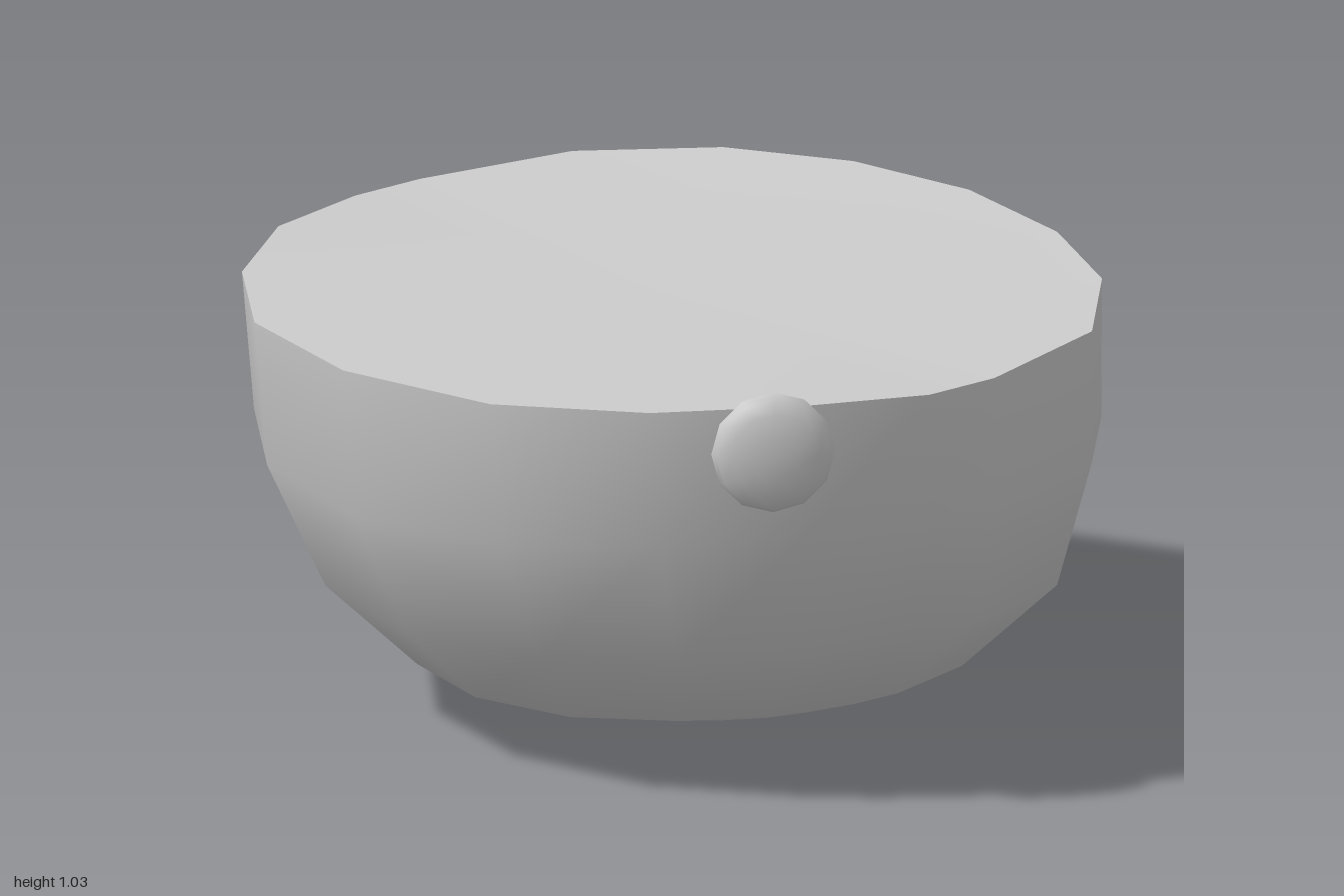
import * as THREE from 'three';

// Rim half outline from back to front: x, y, z
const HALF_RIM = [
  [0, 1.035, -0.915], [0.355, 1.027, -0.875], [0.66, 1.013, -0.75], [0.905, 0.993, -0.515],
  [1, 0.977, -0.15], [1, 0.975, 0.04], [0.905, 0.985, 0.345], [0.71, 0.977, 0.615],
  [0.41, 0.97, 0.83], [0, 0.97, 0.915],
];
// Rings below the rim: half width, front z, back z, and height at front, side and back
const RINGS = [
  [0.99, 0.88, -0.915, 0.62, 0.68, 0.69],
  [0.9, 0.73, -0.83, 0.32, 0.38, 0.39],
  [0.65, 0.53, -0.66, 0.13, 0.155, 0.165],
  [0.355, 0.12, -0.43, 0.025, 0.045, 0.05],
];
const POLE = [0, 0, -0.08];

function makeGeometry(points, index) {
  const geometry = new THREE.BufferGeometry();
  geometry.setAttribute('position', new THREE.Float32BufferAttribute(points.flat(), 3));
  geometry.setIndex(index);
  geometry.computeVertexNormals();
  return geometry;
}

export function createModel() {
  const group = new THREE.Group();
  const material = new THREE.MeshStandardMaterial({ color: 0xcccccc });
  const add = (name, geometry, parent = group) => {
    const mesh = new THREE.Mesh(geometry, material);
    mesh.name = name;
    parent.add(mesh);
    return mesh;
  };

  // Mirror the half outline into a closed rim
  const mirrored = HALF_RIM.slice(1, -1).reverse().map(([x, y, z]) => [-x, y, z]);
  const rim = [...HALF_RIM, ...mirrored];
  const n = rim.length;

  // Bowl: the rim outline scaled down ring by ring to the lowest point
  const points = [...rim];
  for (const [w, zFront, zBack, yFront, ySide, yBack] of RINGS) {
    for (const [x, , z] of rim) {
      const t = z / 0.915;
      const yEnd = t > 0 ? yFront : yBack;
      points.push([
        x * w,
        ySide + (yEnd - ySide) * t * t,
        (zFront + zBack) / 2 + t * (zFront - zBack) / 2,
      ]);
    }
  }
  const pole = points.push(POLE) - 1;
  const index = [];
  for (let r = 0; r <= RINGS.length; r++) {
    for (let j = 0; j < n; j++) {
      const a = r * n + j, b = r * n + (j + 1) % n;
      if (r === RINGS.length) index.push(a, b, pole);
      else index.push(a, b, b + n, a, b + n, a + n);
    }
  }
  add('bowl', makeGeometry(points, index));

  // Closed top: a shallow fan inside the rim
  const fan = [];
  for (let j = 0; j < n; j++) fan.push(n, (j + 1) % n, j);
  add('topSurface', makeGeometry([...rim, [0, 0.975, 0]], fan));

  // Flattened half dome on the left front of the rim
  const knob = new THREE.Group();
  knob.name = 'sideKnob';
  knob.position.set(0.875, 0.88, 0.392);
  knob.rotation.y = Math.atan2(0.84, 0.54);
  knob.scale.set(0.14, 0.14, 0.05);
  const dome = new THREE.SphereGeometry(1, 12, 4, 0, Math.PI * 2, 0, Math.PI / 2);
  add('knobDome', dome.rotateX(Math.PI / 2), knob);
  add('knobBack', new THREE.CircleGeometry(1, 12).rotateY(Math.PI), knob);
  group.add(knob);

  return group;
}
